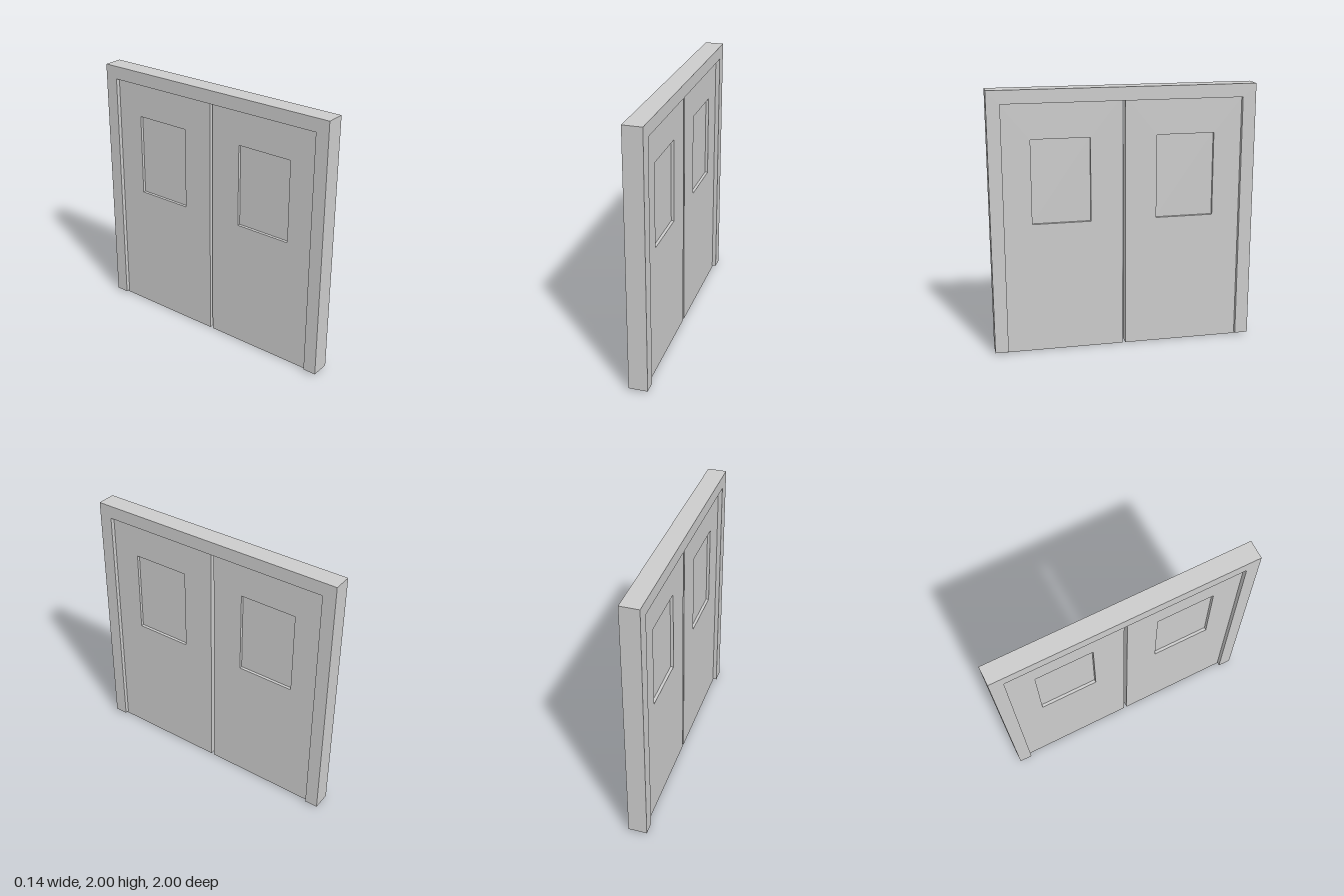
import * as THREE from 'three';

const material = new THREE.MeshStandardMaterial({ color: 0xcccccc, flatShading: true });

function rectPath(path, x0, y0, x1, y1) {
  path.moveTo(x0, y0);
  path.lineTo(x1, y0);
  path.lineTo(x1, y1);
  path.lineTo(x0, y1);
  path.closePath();
  return path;
}

// Extrudes a profile drawn in (z, y) into a slab centred on x = 0
function slab(name, shape, thickness) {
  const geometry = new THREE.ExtrudeGeometry(shape, { depth: thickness, bevelEnabled: false });
  geometry.translate(0, 0, -thickness / 2);
  geometry.rotateY(-Math.PI / 2);
  const mesh = new THREE.Mesh(geometry, material);
  mesh.name = name;
  return mesh;
}

export function createModel() {
  const model = new THREE.Group();
  model.name = 'doubleDoor';

  // Frame: two jambs and a head, raised slightly off the floor
  const frame = new THREE.Shape();
  [[-1, 0.015], [-0.9, 0.015], [-0.9, 1.9], [0.9, 1.9], [0.9, 0.015], [1, 0.015], [1, 2], [-1, 2]]
    .forEach(([z, y], i) => (i ? frame.lineTo(z, y) : frame.moveTo(z, y)));
  frame.closePath();
  model.add(slab('doorFrame', frame, 0.143));

  // Two leaves with a narrow gap between them, their edges set into the frame
  for (const [side, s] of [['front', 1], ['back', -1]]) {
    const span = (a, b) => (s > 0 ? [a, b] : [-b, -a]);
    const [d0, d1] = span(0.012, 0.935);
    const [w0, w1] = span(0.25, 0.69);

    const leaf = rectPath(new THREE.Shape(), d0, 0, d1, 1.935);
    leaf.holes.push(rectPath(new THREE.Path(), w0, 1.0, w1, 1.635));
    model.add(slab(side + 'DoorLeaf', leaf, 0.08));

    // Recessed window pane
    const pane = new THREE.Mesh(new THREE.BoxGeometry(0.036, 0.635, 0.44), material);
    pane.name = side + 'WindowPane';
    pane.position.set(0, 1.3175, (w0 + w1) / 2);
    model.add(pane);
  }

  return model;
}
